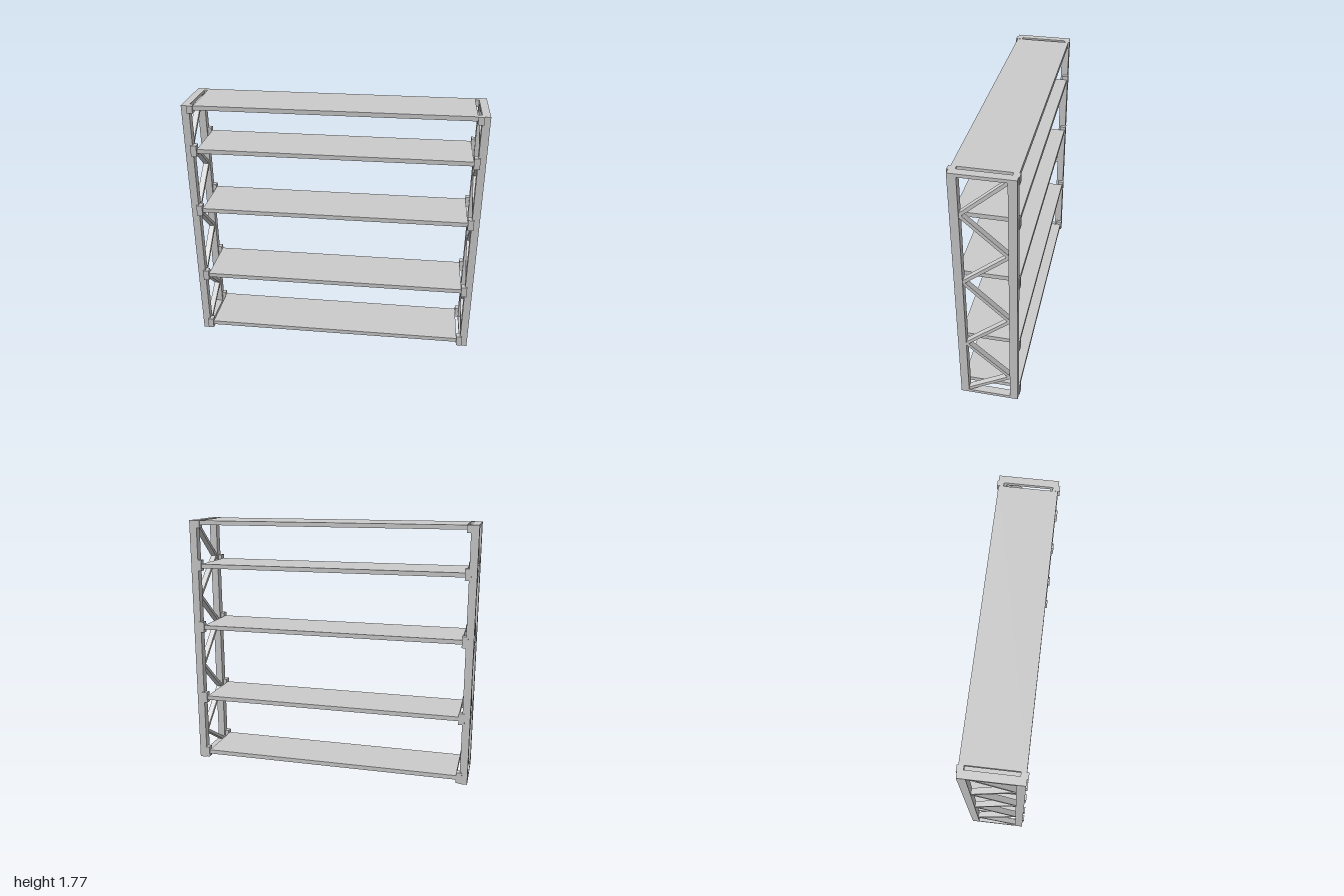
import * as THREE from 'three';

const material = new THREE.MeshStandardMaterial({ color: 0xcccccc, flatShading: true });

// Box given by its [min, max] range on each axis
function box(name, [x0, x1], [y0, y1], [z0, z1]) {
  const mesh = new THREE.Mesh(new THREE.BoxGeometry(x1 - x0, y1 - y0, z1 - z0), material);
  mesh.position.set((x0 + x1) / 2, (y0 + y1) / 2, (z0 + z1) / 2);
  mesh.name = name;
  return mesh;
}

// Flat bar in the yz plane between two [z, y] points
function brace([z0, y0], [z1, y1], x) {
  const dz = z1 - z0, dy = y1 - y0;
  const mesh = new THREE.Mesh(new THREE.BoxGeometry(0.04, 0.022, Math.hypot(dz, dy)), material);
  mesh.position.set(x, (y0 + y1) / 2, (z0 + z1) / 2);
  mesh.rotation.x = -Math.atan2(dy, dz);
  mesh.name = 'diagonalBrace';
  return mesh;
}

export function createModel() {
  const model = new THREE.Group();
  model.name = 'shelvingUnit';
  const height = 1.773;
  const shelfTops = [0.058, 0.487, 1.022, 1.467, 1.772];
  const bracketRanges = [[0.007, 0.083], [0.435, 0.513], [0.97, 1.048], [1.418, 1.495], [1.722, height]];

  // Shelves
  shelfTops.forEach((y) => model.add(box('shelf', [-0.922, 0.922], [y - 0.03, y], [-0.195, 0.191])));

  // Zigzag nodes alternate between the front and back posts
  const nodes = [0.025, 0.2, 0.465, 0.715, 0.99, 1.23, 1.492, 1.748]
    .map((y, i) => [i % 2 ? -0.147 : 0.142, y]);

  for (const side of [-1, 1]) {
    const span = (a, b) => (side > 0 ? [a, b] : [-b, -a]);
    const frame = new THREE.Group();
    frame.name = side > 0 ? 'leftFrame' : 'rightFrame';

    // Posts with top and bottom rails
    frame.add(box('frontPost', span(0.948, 1), [0, height], [0.14, 0.194]));
    frame.add(box('backPost', span(0.948, 1), [0, height], [-0.198, -0.145]));
    frame.add(box('bottomRail', span(0.948, 1), [0, 0.022], [-0.145, 0.14]));
    frame.add(box('topRail', span(0.948, 1), [height - 0.022, height], [-0.145, 0.14]));

    // Diagonal bracing
    for (let i = 0; i + 1 < nodes.length; i++) frame.add(brace(nodes[i], nodes[i + 1], side * 0.974));

    // Shelf brackets clipped on the posts
    for (const range of bracketRanges) {
      frame.add(box('frontBracket', span(0.922, 0.962), range, [0.157, 0.204]));
      frame.add(box('backBracket', span(0.922, 0.962), range, [-0.204, -0.162]));
    }
    model.add(frame);
  }
  return model;
}
